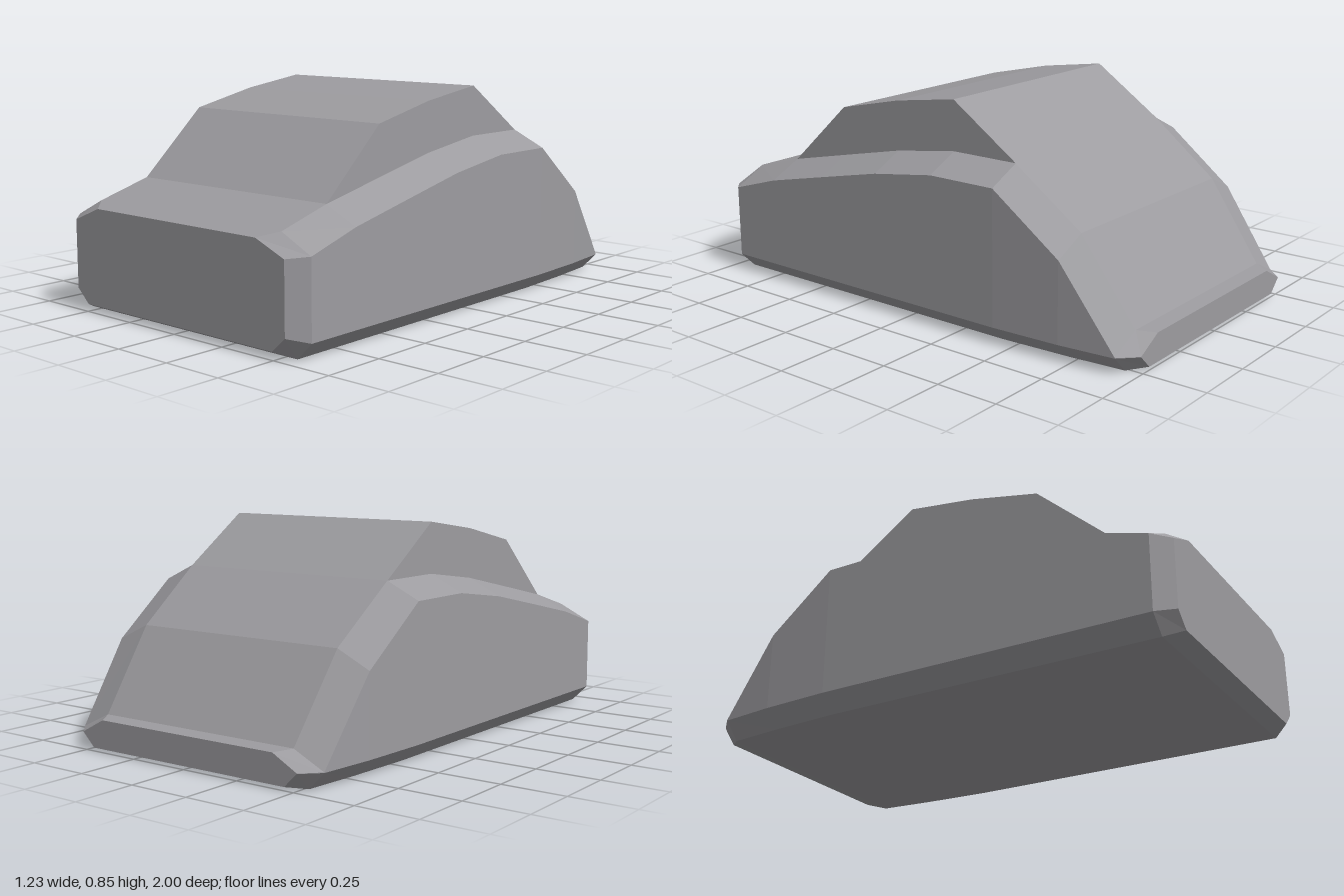
import * as THREE from 'three';

const material = new THREE.MeshStandardMaterial({ color: 0x9d9ca0, flatShading: true });

// Body stations, front to back:
// [z, floor half-width, floor y, side half-width, sill y, shoulder y, deck half-width, deck y]
const STATIONS = [
  [1.0, 0.495, 0.03, 0.555, 0.085, 0.353, 0.42, 0.408],
  [0.935, 0.55, 0, 0.616, 0.066, 0.36, 0.48, 0.427],
  [0.712, 0.55, 0, 0.616, 0.066, 0.427, 0.48, 0.491],
  [0.43, 0.55, 0, 0.616, 0.066, 0.488, 0.48, 0.552],
  [0.14, 0.55, 0, 0.616, 0.066, 0.55, 0.48, 0.614],
  [-0.14, 0.55, 0, 0.616, 0.066, 0.59, 0.48, 0.654],
  [-0.43, 0.55, 0, 0.616, 0.066, 0.59, 0.48, 0.654],
  [-0.71, 0.535, 0, 0.603, 0.066, 0.378, 0.465, 0.443],
  [-0.935, 0.515, 0, 0.58, 0.066, 0.068, 0.45, 0.13],
  [-1.0, 0.46, 0.013, 0.515, 0.066, 0.068, 0.41, 0.124],
];

// Cabin side outline as [z, y]
const CABIN = [[0.712, 0.491], [0.43, 0.747], [0.14, 0.811], [-0.14, 0.851], [-0.43, 0.654]];
const CABIN_HALF_WIDTH = 0.48;

// Mirrored eight-point cross-section, counter-clockwise seen from the front
function section([z, floorX, floorY, sideX, sillY, shoulderY, deckX, deckY]) {
  const half = [[floorX, floorY], [sideX, sillY], [sideX, shoulderY], [deckX, deckY]];
  const mirrored = half.map(([x, y]) => [-x, y]).reverse();
  return [...half, ...mirrored].map(([x, y]) => [x, y, z]);
}

// Skin consecutive sections and cap both ends
function loft(rings) {
  const n = rings[0].length;
  const last = rings.length - 1;
  const index = [];
  for (let i = 0; i < last; i++) {
    for (let j = 0; j < n; j++) {
      const k = (j + 1) % n;
      const a = i * n + j, b = i * n + k, c = a + n, d = b + n;
      index.push(a, c, b, b, c, d);
    }
  }
  for (let j = 1; j < n - 1; j++) {
    index.push(0, j, j + 1);
    index.push(last * n, last * n + j + 1, last * n + j);
  }
  const indexed = new THREE.BufferGeometry();
  indexed.setAttribute('position', new THREE.Float32BufferAttribute(rings.flat(2), 3));
  indexed.setIndex(index);
  const geometry = indexed.toNonIndexed();
  geometry.computeVertexNormals();
  return geometry;
}

export function createModel() {
  const model = new THREE.Group();
  model.name = 'car';

  // Lower body with chamfered sills, shoulders and bumpers
  const body = new THREE.Mesh(loft(STATIONS.map(section)), material);
  body.name = 'body';
  model.add(body);

  // Cabin with windscreen, faceted roof and sloping rear window
  const outline = new THREE.Shape(CABIN.map(([z, y]) => new THREE.Vector2(-z, y)));
  const cabinGeometry = new THREE.ExtrudeGeometry(outline, {
    depth: CABIN_HALF_WIDTH * 2,
    bevelEnabled: false,
  });
  cabinGeometry.translate(0, 0, -CABIN_HALF_WIDTH).rotateY(Math.PI / 2);
  const cabin = new THREE.Mesh(cabinGeometry, material);
  cabin.name = 'cabin';
  model.add(cabin);

  return model;
}
